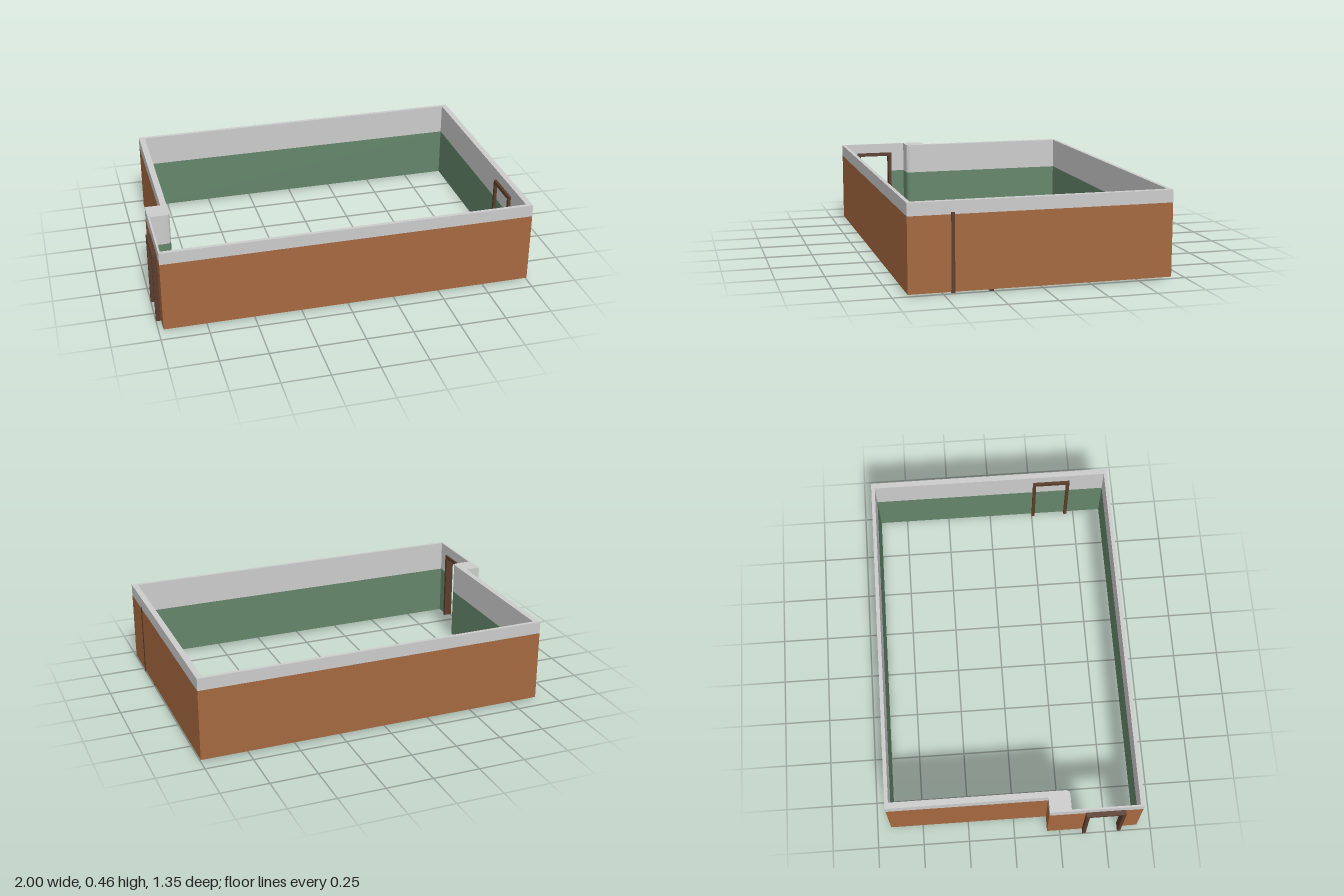
import * as THREE from 'three';

const BASE = 0.01, GREEN_TOP = 0.285, BAND = 0.39, TOP = 0.455;

// Outer and inner wall footprints [x, z], both running from one side of the doorway to the other
const OUTER = [[-0.975, 0.57], [-0.975, 0.675], [1, 0.675], [1, -0.675], [-0.893, -0.675],
  [-0.893, 0.18], [-0.975, 0.18], [-0.975, 0.385]];
const INNER = [[-0.965, 0.385], [-0.965, 0.295], [-0.885, 0.295], [-0.868, 0.29], [-0.86, 0.278],
  [-0.86, -0.655], [0.968, -0.655], [0.968, 0.655], [-0.965, 0.655], [-0.965, 0.57]];

const paint = (color) => new THREE.MeshStandardMaterial({ color });

// Vertical wall surface following a footprint between two heights
function skin(name, path, y0, y1, material, closed = false) {
  const points = closed ? [...path, path[0]] : path;
  const pos = [];
  for (let i = 0; i < points.length - 1; i++) {
    const [ax, az] = points[i], [bx, bz] = points[i + 1];
    pos.push(ax, y0, az, bx, y0, bz, bx, y1, bz, ax, y0, az, bx, y1, bz, ax, y1, az);
  }
  const g = new THREE.BufferGeometry();
  g.setAttribute('position', new THREE.Float32BufferAttribute(pos, 3));
  g.computeVertexNormals();
  const mesh = new THREE.Mesh(g, material);
  mesh.name = name;
  return mesh;
}

// Horizontal face; sign +1 faces up, -1 faces down
function cap(name, outline, hole, y, sign, material) {
  const flat = (path) => path.map(([x, z]) => new THREE.Vector2(x, -sign * z));
  const shape = new THREE.Shape(flat(outline));
  if (hole) shape.holes.push(new THREE.Path(flat(hole)));
  const g = new THREE.ShapeGeometry(shape).rotateX(-sign * Math.PI / 2).translate(0, y, 0);
  const mesh = new THREE.Mesh(g, material);
  mesh.name = name;
  return mesh;
}

// Two jambs and a head; zBack is the rear edge of the frame
function doorFrame(name, x0, x1, zBack, material, proud = 0) {
  const frame = new THREE.Group();
  frame.name = name;
  const bar = (part, xa, xb, y0, y1, z0, z1) => {
    const m = new THREE.Mesh(new THREE.BoxGeometry(xb - xa, y1 - y0, z1 - z0), material);
    m.position.set((xa + xb) / 2, (y0 + y1) / 2, (z0 + z1) / 2);
    m.name = part;
    frame.add(m);
  };
  const W = 0.21, J = 0.018;
  bar('rearJamb', x0, x1, 0, 0.4, zBack, zBack + J);
  bar('frontJamb', x0, x1 + proud, 0.005, 0.4, zBack + W - J, zBack + W);
  bar('doorHead', x0, x1, 0.38, 0.4, zBack + J, zBack + W - J);
  return frame;
}

export function createModel() {
  const grey = paint(0xcccccc), brown = paint(0xa5683f), green = paint(0x64856a), wood = paint(0x5a3d2c);
  const room = new THREE.Group();
  room.name = 'room';

  // Outside: brown cladding under a grey band
  room.add(skin('outerCladding', OUTER, BASE, BAND, brown));
  room.add(skin('outerBand', OUTER, BAND, TOP, grey, true));

  // Inside: green dado under grey plaster, closed above the doorway
  room.add(skin('innerDado', INNER, BASE, GREEN_TOP, green));
  room.add(skin('innerPlaster', INNER, GREEN_TOP, BAND, grey));
  room.add(skin('innerBand', INNER, BAND, TOP, grey, true));

  // Wall top and underside
  room.add(cap('wallTop', OUTER, INNER, TOP, 1, grey));
  room.add(cap('wallUnderside', [...OUTER, ...INNER], null, BASE, -1, green));

  // Open doorway on one side, blind frame set into the opposite wall
  room.add(doorFrame('openDoorFrame', -1, -0.955, 0.373, wood));
  room.add(doorFrame('blindDoorFrame', 0.953, 0.998, 0.25, wood, 0.004));
  return room;
}
